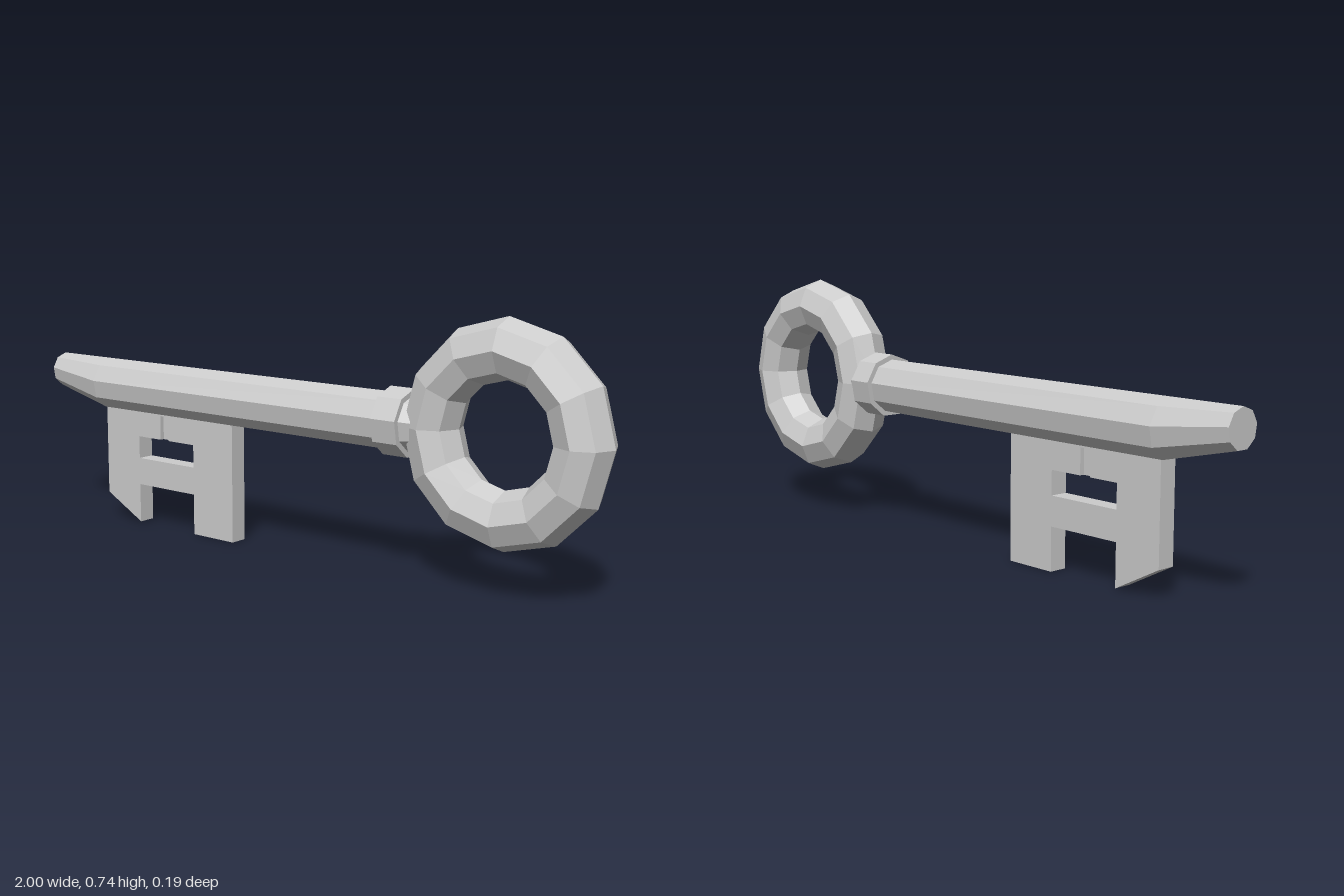
import * as THREE from 'three';

const AXIS_Y = 0.4346; // height of the shaft axis and ring centre

export function createModel() {
  const group = new THREE.Group();
  const material = new THREE.MeshStandardMaterial({ color: 0xcccccc, flatShading: true });

  const add = (name, geometry, x = 0, y = 0, z = 0) => {
    const mesh = new THREE.Mesh(geometry, material);
    mesh.name = name;
    mesh.position.set(x, y, z);
    group.add(mesh);
    return mesh;
  };

  // Nine-sided turned part along x with a ridge on top; profile is [radius, x]
  const turned = (profile) => {
    const points = profile.map(([r, x]) => new THREE.Vector2(r, x));
    return new THREE.LatheGeometry(points, 9).rotateX(-Math.PI / 2).rotateY(-Math.PI / 2);
  };

  // Shaft, its tip tapering up towards the straight top ridge
  const shaft = turned([[0, -1], [0.054, -1], [0.08, -0.78], [0.08, 0.405], [0.072, 0.44], [0, 0.44]]);
  const pos = shaft.attributes.position;
  for (let i = 0; i < pos.count; i++) {
    if (pos.getX(i) < -0.9) pos.setY(i, pos.getY(i) + 0.026);
  }
  add('shaft', shaft, 0, AXIS_Y);

  // Collar between the shaft and the ring
  add('collar', turned([[0, 0.325], [0.0954, 0.325], [0.0954, 0.405], [0, 0.405]]), 0, AXIS_Y);

  // Ring handle
  add('ringHandle', new THREE.TorusGeometry(0.226, 0.082, 8, 12), 0.692, AXIS_Y);

  // Bit: flat plate with a lower notch and a window
  const toPoints = (list) => list.map(([x, y]) => new THREE.Vector2(x, y));
  const plate = new THREE.Shape(toPoints([
    [-0.775, 0.39], [-0.775, 0.08], [-0.63, 0.003], [-0.63, 0.125],
    [-0.395, 0.125], [-0.395, 0], [-0.235, 0], [-0.235, 0.39],
  ]));
  plate.holes.push(new THREE.Path(toPoints([
    [-0.63, 0.21], [-0.395, 0.21], [-0.395, 0.28], [-0.5, 0.28],
    [-0.5, 0.355], [-0.535, 0.355], [-0.535, 0.28], [-0.63, 0.28],
  ])));
  add('bit', new THREE.ExtrudeGeometry(plate, { depth: 0.054, bevelEnabled: false }), 0, 0, -0.027);

  // Thin web at the bottom of the groove above the window
  add('grooveWeb', new THREE.BoxGeometry(0.035, 0.08, 0.026), -0.5175, 0.32, 0);

  return group;
}
